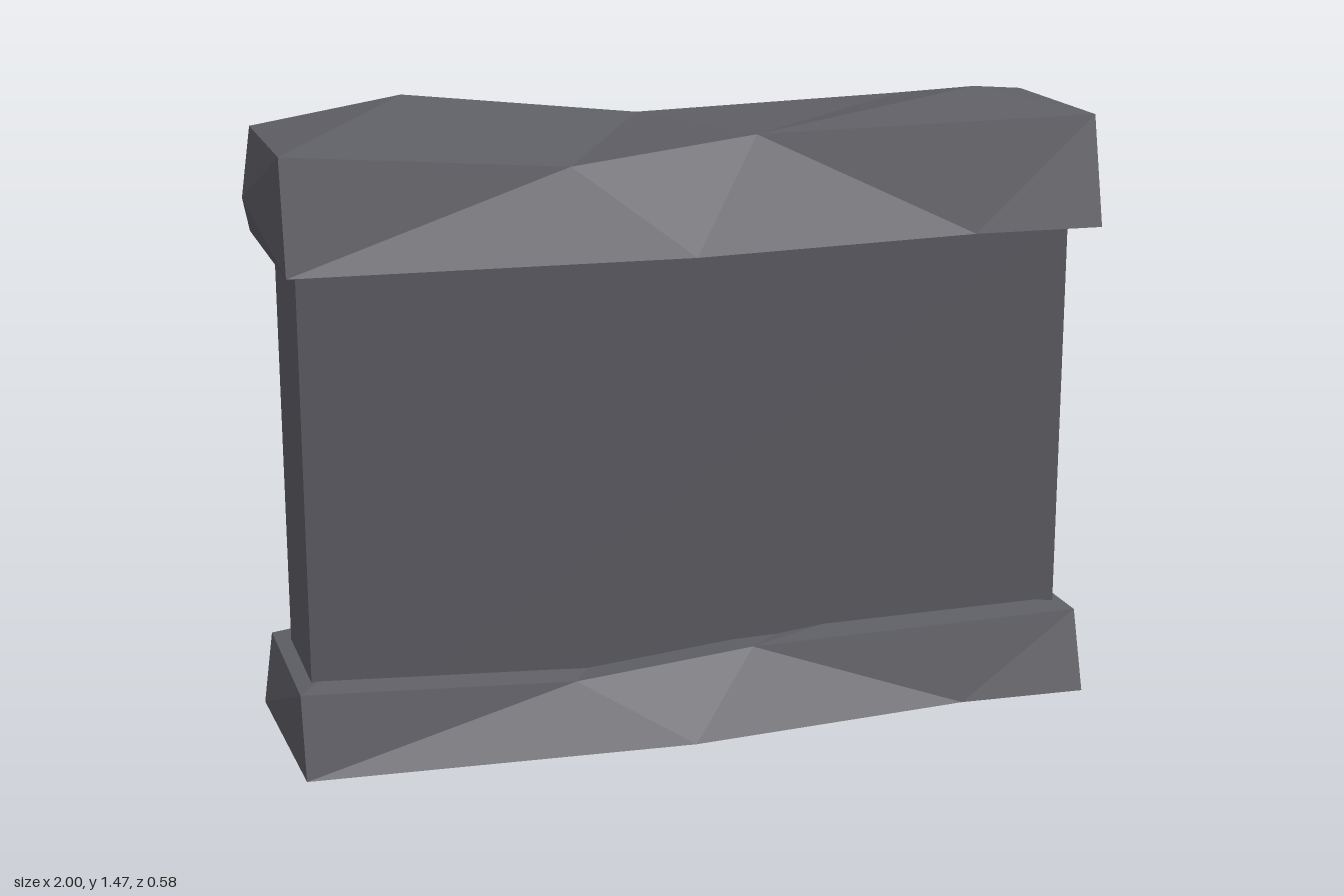
import * as THREE from 'three';

// Named corners of a rough-hewn stone slab, heights measured from its underside.
// Capitals lie on the upper rim, lower case on the underside.
const corners = {
  // front upper rim
  A: [-0.95, 0.255, 0.19], B: [-0.31, 0.2, 0.19], C: [0.12, 0.25, 0.19], D: [0.95, 0.255, 0.19],
  // back upper rim
  E: [-0.95, 0.255, -0.23], F: [-0.6, 0.31, -0.23], G: [-0.05, 0.25, -0.19],
  H: [0.62, 0.262, -0.21], I: [0.95, 0.255, -0.23],
  // peak on top, and the points of the two ends
  P: [0.72, 0.305, 0.01], L: [-1, 0.13, -0.03], R: [1, 0, -0.02],
  // front lower rim
  a: [-0.95, 0, 0.235], b: [-0.05, 0, 0.29], c: [0.64, 0, 0.235], d: [0.95, 0, 0.25],
  // back lower rim
  e: [-0.95, 0, -0.295], f: [-0.2, 0, -0.275], g: [0.93, 0, -0.275],
};

// Facets of each side, as corner triples
const facets = {
  top: 'EAF FAB FBG GBC GCH HCP PCD PDI HPI',
  front: 'AaB abB BbC bcC CcD cdD',
  back: 'IgH Hgf HfG GfF Ffe FeE',
  rightEnd: 'DdR DRI IRg',
  leftEnd: 'EeL eaL aAL AEL',
  underside: 'fae fba fcb fdc fRd fgR',
};

function slabGeometry() {
  const positions = [];
  for (const side of Object.values(facets)) {
    for (const letter of side.replaceAll(' ', '')) positions.push(...corners[letter]);
  }
  const geometry = new THREE.BufferGeometry();
  geometry.setAttribute('position', new THREE.Float32BufferAttribute(positions, 3));
  geometry.computeVertexNormals();
  return geometry;
}

export function createModel() {
  const model = new THREE.Group();
  model.name = 'stoneWall';

  const stone = new THREE.MeshStandardMaterial({ color: 0x5e5e65, flatShading: true });
  stone.name = 'dark grey stone';

  // Plain wall panel between the slabs
  const wall = new THREE.Mesh(new THREE.BoxGeometry(1.835, 1.14, 0.29), stone);
  wall.name = 'wallPanel';
  wall.position.set(0.0025, 0.6, -0.015);
  model.add(wall);

  // The same slab serves as the base, flattened, and as the coping
  const slab = slabGeometry();
  for (const [name, y, heightScale] of [['baseSlab', 0, 0.745], ['copingSlab', 1.155, 1]]) {
    const mesh = new THREE.Mesh(slab, stone);
    mesh.name = name;
    mesh.position.y = y;
    mesh.scale.y = heightScale;
    model.add(mesh);
  }

  return model;
}
